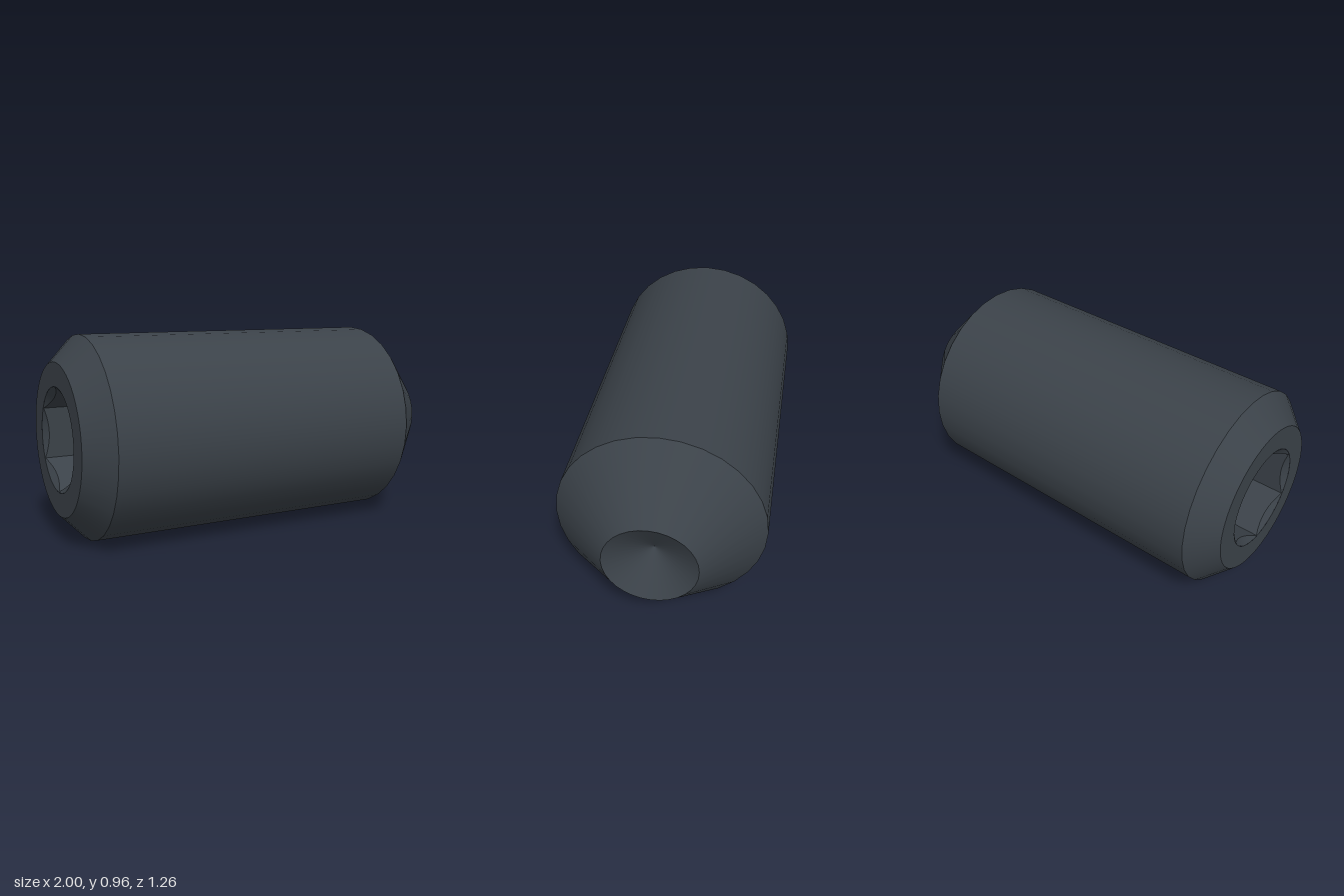
import * as THREE from 'three';
import { toCreasedNormals } from 'three/addons/utils/BufferGeometryUtils.js';

const HALF = 0.96;      // half length along the screw axis
const RIM = 0.245;      // countersink radius of the hex socket
const APOTHEM = 0.21;   // half the hex width across flats

// Hex socket with a conical countersink, built from rings
function socketGeometry(depth, n = 48) {
  const hexRadius = (a) => {
    const third = Math.PI / 3;
    const m = ((a % third) + third) % third;
    return APOTHEM / Math.cos(m - third / 2);
  };
  const rings = [
    () => [RIM, -HALF],
    (a) => [hexRadius(a), -HALF + (RIM - hexRadius(a)) * 0.7],
    (a) => [hexRadius(a), -HALF + depth],
    () => [0, -HALF + depth],
  ];
  const positions = [];
  const point = (i, j) => {
    const a = ((j % n) / n) * Math.PI * 2;
    const [r, y] = rings[i](a);
    return [r * Math.cos(a), y, r * Math.sin(a)];
  };
  for (let i = 0; i < rings.length - 1; i++) {
    for (let j = 0; j < n; j++) {
      const a = point(i, j), b = point(i, j + 1), c = point(i + 1, j), d = point(i + 1, j + 1);
      positions.push(...a, ...b, ...c);
      if (i < rings.length - 2) positions.push(...b, ...d, ...c);
    }
  }
  const geometry = new THREE.BufferGeometry();
  geometry.setAttribute('position', new THREE.Float32BufferAttribute(positions, 3));
  return toCreasedNormals(geometry, 0.3);
}

export function createModel() {
  const steel = new THREE.MeshStandardMaterial({ color: 0x3b4249 });
  steel.name = 'blackened steel';

  const model = new THREE.Group();
  model.name = 'setScrew';
  const screw = new THREE.Group();
  screw.name = 'screwAxis';
  model.add(screw);

  const add = (name, geometry) => {
    const mesh = new THREE.Mesh(geometry, steel);
    mesh.name = name;
    screw.add(mesh);
  };
  // One straight turned section, from (r0, y0) to (r1, y1)
  const turned = (name, r0, y0, r1, y1, segments = 32) =>
    add(name, new THREE.LatheGeometry(
      [new THREE.Vector2(r0, y0), new THREE.Vector2(r1, y1)], segments));

  turned('socketEndFace', RIM, -HALF, 0.358, -HALF, 96);
  turned('socketEndChamfer', 0.358, -HALF, 0.48, -0.842);
  turned('body', 0.48, -0.842, 0.48, 0.69);
  turned('pointTaper', 0.48, 0.69, 0.212, HALF);
  turned('cupRecess', 0.212, HALF, 0, HALF - 0.12);
  add('hexSocket', socketGeometry(0.6));

  // Lay the axis down and turn it slightly
  screw.rotation.set(0, -0.21, -Math.PI / 2);
  screw.position.set(0.014, 0.48, 0);
  return model;
}
